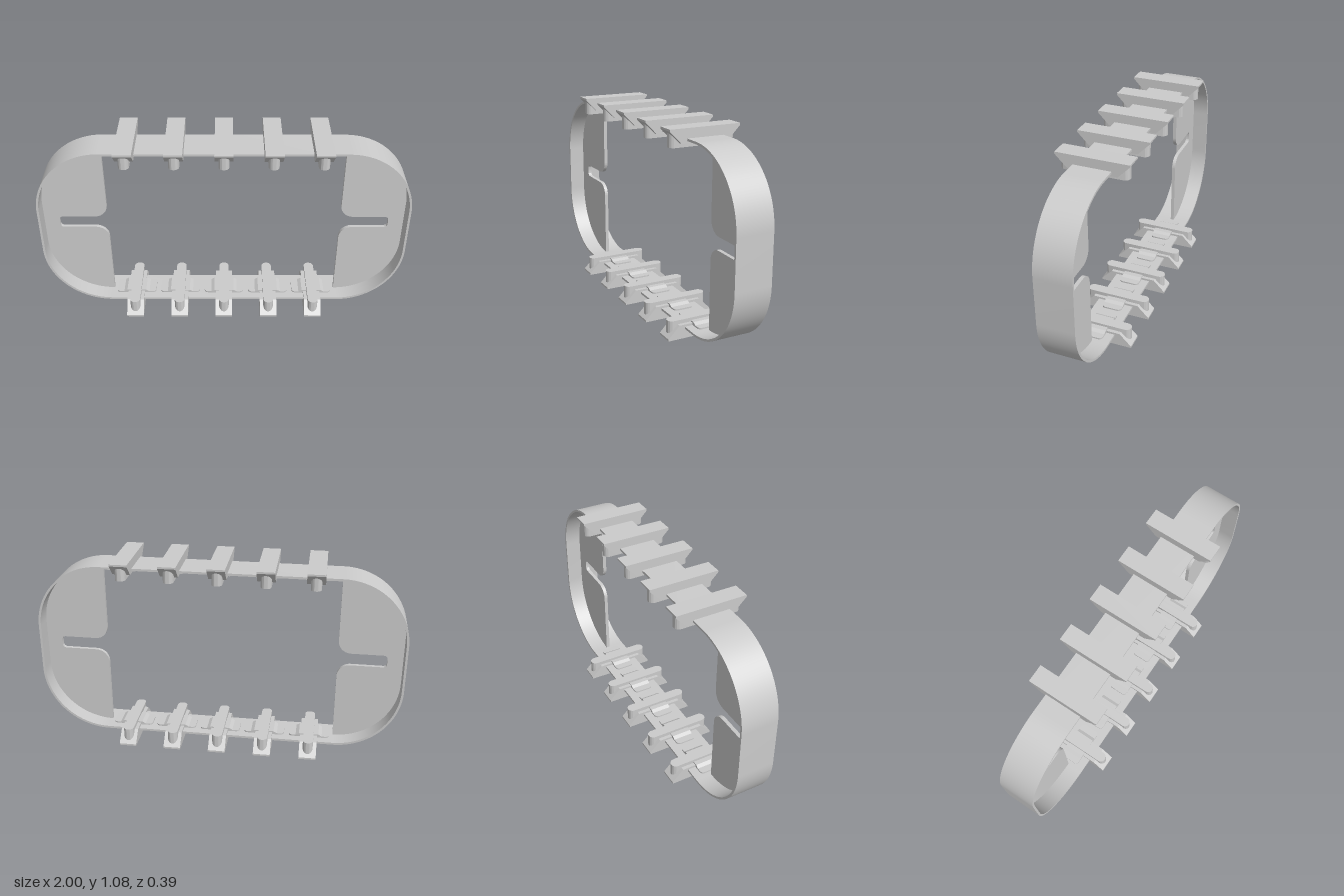
import * as THREE from 'three';
import { toCreasedNormals } from 'three/addons/utils/BufferGeometryUtils.js';

const MID = 0.54; // mid height of the loop
const grey = new THREE.MeshStandardMaterial({ color: 0xcccccc });

// Extrusion centred on its own depth, smooth on curves and sharp at edges
function slab(shape, depth) {
  const g = new THREE.ExtrudeGeometry(shape, { depth, bevelEnabled: false, curveSegments: 20 });
  g.translate(0, 0, -depth / 2);
  return toCreasedNormals(g, 0.5);
}

function part(name, geometry) {
  const m = new THREE.Mesh(geometry, grey);
  m.name = name;
  return m;
}

function roundedRect(w, h, r, Type = THREE.Shape) {
  const s = new Type(), x = w / 2 - r, y = h / 2 - r, q = Math.PI / 2;
  s.moveTo(-x, -y - r);
  s.absarc(x, -y, r, -q, 0);
  s.absarc(x, y, r, 0, q);
  s.absarc(-x, y, r, q, 2 * q);
  s.absarc(-x, -y, r, 2 * q, 3 * q);
  s.closePath();
  return s;
}

const polygon = (pts) => new THREE.Shape(pts.map(([x, y]) => new THREE.Vector2(x, y)));

// End web: half of the loop's curve with a slot opening inward
function webShape() {
  const s = new THREE.Shape(), q = Math.PI / 2;
  s.moveTo(0.64, -0.485);
  s.absarc(0.64, -0.13, 0.355, -q, 0);
  s.absarc(0.64, 0.13, 0.355, 0, q);
  s.lineTo(0.64, 0.105);
  s.absarc(0.71, 0.105, 0.07, 2 * q, 3 * q);
  s.absarc(0.885, 0.015, 0.02, q, 0, true);
  s.absarc(0.885, -0.015, 0.02, 0, -q, true);
  s.absarc(0.71, -0.105, 0.07, q, 2 * q);
  s.closePath();
  return s;
}

// Track pad with its flared tread, guide bar and inner plates
function createPad() {
  const pad = new THREE.Group();
  pad.name = 'trackPad';

  const tread = slab(polygon([
    [-0.193, 0], [0.193, 0], [0.193, 0.01], [0.13, 0.074], [-0.13, 0.074], [-0.193, 0.01],
  ]), 0.095);
  tread.rotateY(Math.PI / 2);

  const bar = slab(roundedRect(0.056, 0.356, 0.0279), 0.085);
  bar.rotateX(-Math.PI / 2).translate(0, 0.0525, 0);

  const plate = slab(roundedRect(0.225, 0.11, 0.02), 0.012);
  plate.rotateX(-Math.PI / 2).translate(0, 0.064, 0);

  const ramp = slab(polygon([
    [-0.08, 0.066], [0.08, 0.066], [0.055, 0.081], [-0.055, 0.081],
  ]), 0.11);

  pad.add(part('tread', tread), part('guideBar', bar), part('innerPlate', plate), part('plateRamp', ramp));
  return pad;
}

export function createModel() {
  const model = new THREE.Group();
  model.name = 'trackLoop';

  // Thin band around the outside
  const bandShape = roundedRect(2, 0.98, 0.36);
  bandShape.holes.push(roundedRect(1.976, 0.956, 0.348, THREE.Path));
  const band = part('band', slab(bandShape, 0.2));
  band.position.y = MID;
  model.add(band);

  // Slotted webs at both ends
  const webGeometry = slab(webShape(), 0.02);
  for (const side of [1, -1]) {
    const web = part(side > 0 ? 'leftWeb' : 'rightWeb', webGeometry);
    web.position.y = MID;
    if (side < 0) web.rotation.y = Math.PI;
    model.add(web);
  }

  // Pads along the lower run, and turned over along the upper run
  const pad = createPad();
  for (let i = -2; i <= 2; i++) {
    const lower = pad.clone();
    lower.name = 'lowerPad';
    lower.position.x = i * 0.2535;
    const upper = pad.clone();
    upper.name = 'upperPad';
    upper.position.set(i * 0.2535, MID * 2, 0);
    upper.rotation.z = Math.PI;
    model.add(lower, upper);
  }
  return model;
}
